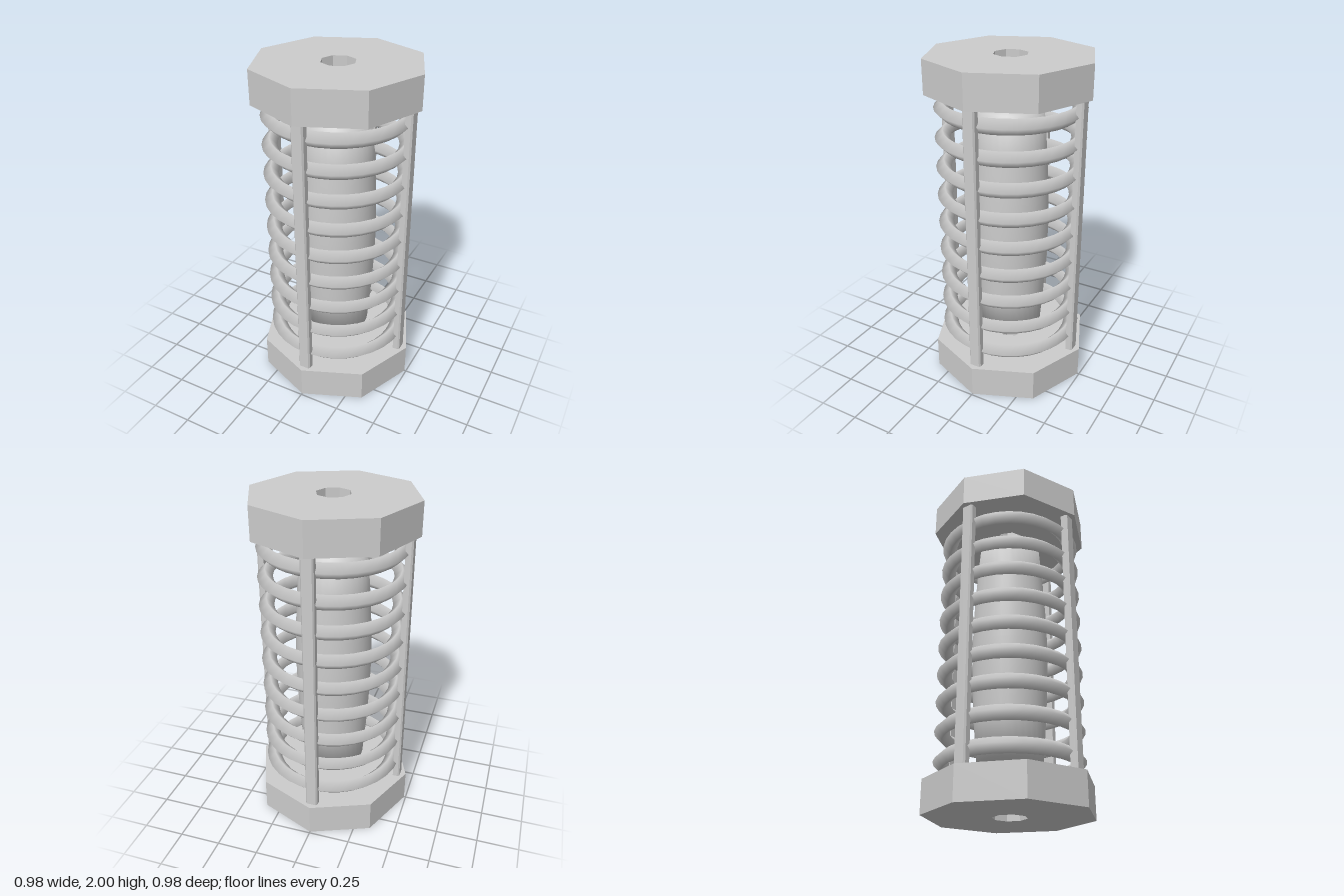
import * as THREE from 'three';

const grey = new THREE.MeshStandardMaterial({ color: 0xcccccc });
grey.name = 'light grey';

// Outline of a regular octagon with corners on the axes
function octagon(radius) {
  return Array.from({ length: 8 }, (_, i) => {
    const a = (i * Math.PI) / 4;
    return new THREE.Vector2(radius * Math.cos(a), radius * Math.sin(a));
  });
}

// Extrude a plan outline straight up
function prism(shape, height) {
  return new THREE.ExtrudeGeometry(shape, { depth: height, bevelEnabled: false }).rotateX(-Math.PI / 2);
}

export function createModel() {
  const model = new THREE.Group();
  model.name = 'cagedCore';

  const add = (name, geometry, y = 0) => {
    const mesh = new THREE.Mesh(geometry, grey);
    mesh.name = name;
    mesh.position.y = y;
    model.add(mesh);
    return mesh;
  };

  // Octagonal end caps with a through hole
  const capHeight = 0.195;
  const capShape = new THREE.Shape(octagon(0.49));
  capShape.holes.push(new THREE.Path(octagon(0.1)));
  const capGeometry = prism(capShape, capHeight);
  add('bottomCap', capGeometry);
  add('topCap', capGeometry, 2 - capHeight);

  // Barrel-shaped core floating in the middle
  const profile = [
    [0, 0.295], [0.19, 0.295], [0.209, 0.53], [0.223, 0.77], [0.229, 1],
    [0.223, 1.23], [0.209, 1.47], [0.19, 1.705], [0, 1.705],
  ].map(([r, y]) => new THREE.Vector2(r, y));
  add('core', new THREE.LatheGeometry(profile, 32));

  // Stack of rings with a diamond section
  const ringGeometry = new THREE.TorusGeometry(0.39, 0.045, 4, 32).rotateX(Math.PI / 2);
  for (let i = 0; i < 9; i++) add('ring' + (i + 1), ringGeometry, 0.296 + i * 0.1768);

  // Four flat rods with chamfered outer edges, running between the caps
  const rodShape = new THREE.Shape([
    [-0.037, -0.413], [-0.037, -0.445], [-0.029, -0.455],
    [0.029, -0.455], [0.037, -0.445], [0.037, -0.413],
  ].map(([x, y]) => new THREE.Vector2(x, y)));
  const rodGeometry = prism(rodShape, 2 - 2 * capHeight);
  ['frontRod', 'leftRod', 'backRod', 'rightRod'].forEach((name, i) => {
    add(name, rodGeometry, capHeight).rotation.y = (i * Math.PI) / 2;
  });

  return model;
}
